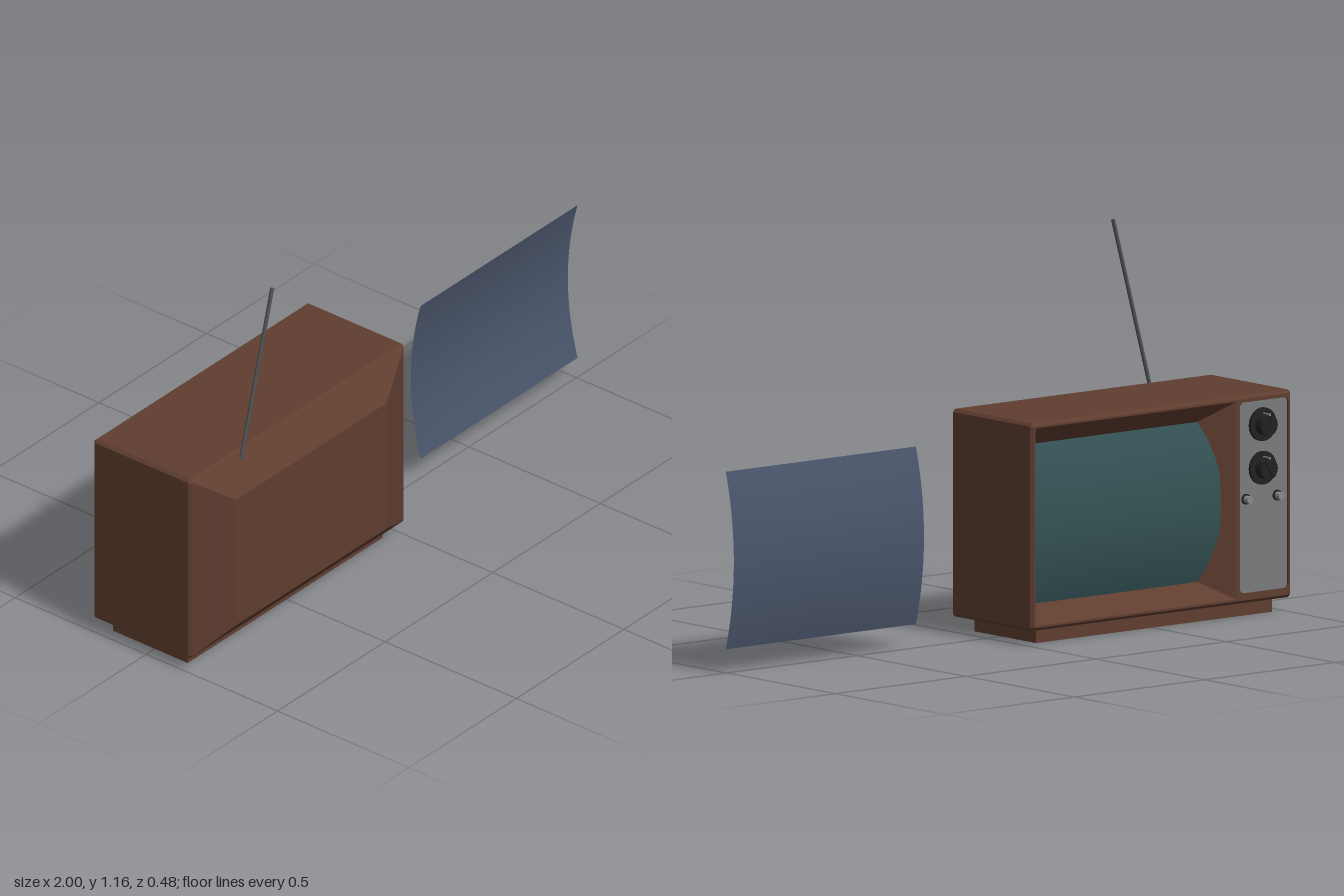
import * as THREE from 'three';

const mat = (name, color, side = THREE.FrontSide) => {
  const m = new THREE.MeshStandardMaterial({ color, side });
  m.name = name;
  return m;
};

// Rectangle outline with small chamfered corners, counter-clockwise
function outline(x0, x1, y0, y1, c = 0) {
  return [
    [x1, y0 + c], [x1, y1 - c], [x1 - c, y1], [x0 + c, y1],
    [x0, y1 - c], [x0, y0 + c], [x0 + c, y0], [x1 - c, y0],
  ];
}

// Flat-faced skin through rectangular rings [x0, x1, y0, y1, z, chamfer].
// Rings running towards -z face outwards, rings running towards +z face inwards.
function loft(rings) {
  const pts = rings.map(([x0, x1, y0, y1, z, c]) => outline(x0, x1, y0, y1, c).map(p => [...p, z]));
  const out = [];
  for (let i = 0; i < pts.length - 1; i++) {
    for (let j = 0; j < 8; j++) {
      const k = (j + 1) % 8;
      const [a, b, c, d] = [pts[i][j], pts[i][k], pts[i + 1][k], pts[i + 1][j]];
      out.push(...a, ...d, ...c, ...a, ...c, ...b);
    }
  }
  const g = new THREE.BufferGeometry();
  g.setAttribute('position', new THREE.Float32BufferAttribute(out, 3));
  g.computeVertexNormals();
  return g;
}

// Bulging sheet: deep curve over the height, slight curve over the width
function curvedSheet(w, h, bulge, sideBulge) {
  const g = new THREE.PlaneGeometry(w, h, 16, 24);
  const p = g.attributes.position;
  for (let i = 0; i < p.count; i++) {
    const u = p.getX(i) / (w / 2), v = p.getY(i) / (h / 2);
    p.setZ(i, -(1 - v * v) * (bulge + sideBulge * (1 - u * u)));
  }
  g.computeVertexNormals();
  return g;
}

export function createModel() {
  const group = new THREE.Group();
  const wood = mat('brown cabinet', 0x5f3d2f);
  const tube = mat('teal screen', 0x345254, THREE.DoubleSide);
  const glassMat = mat('blue grey glass', 0x4a556b, THREE.DoubleSide);
  const grey = mat('grey panel', 0x7a7b7c);
  const black = mat('black knob', 0x1f2123);
  const metal = mat('dark metal', 0x505254);
  const steel = mat('light metal', 0x8a8a8a);

  const add = (name, geo, material, x = 0, y = 0, z = 0, parent = group) => {
    const m = new THREE.Mesh(geo, material);
    m.name = name;
    m.position.set(x, y, z);
    parent.add(m);
    return m;
  };

  // Cabinet shell with the tapered back
  const e = 0.009;
  add('cabinetShell', loft([
    [-0.525, -0.525, 0.35, 0.35, 0.24, 0],
    [-0.875, -0.175, 0.135, 0.57, 0.24, 0],
    [-1 + e, -e, 0.045 + e, 0.665 - e, 0.168, 0.003],
    [-1, 0, 0.045, 0.665, 0.158, e],
    [-1, 0, 0.045, 0.665, -0.196, e],
    [-1 + e, -e, 0.045 + e, 0.665 - e, -0.205, 0.004],
  ]), wood);

  // Face frame with openings for the screen and the controls
  const screenHole = [-0.785, -0.015, 0.06, 0.65];
  const panelHole = [-0.985, -0.8, 0.075, 0.645];
  const flipped = (r, c) => outline(r[0], r[1], r[2], r[3], c).map(([x, y]) => new THREE.Vector2(-x, y));
  const face = new THREE.Shape(flipped([-1 + e, -e, 0.045 + e, 0.665 - e], 0.004));
  face.holes.push(new THREE.Path(flipped(screenHole, 0.001)), new THREE.Path(flipped(panelHole, 0.01)));
  add('faceFrame', new THREE.ShapeGeometry(face).rotateY(Math.PI), wood, 0, 0, -0.205);
  add('screenSurround', loft([
    [...screenHole, -0.205, 0.001],
    [-0.69, -0.07, 0.115, 0.59, -0.135, 0.001],
    [-0.665, -0.09, 0.14, 0.57, -0.105, 0.001],
  ]), wood);
  add('panelRecess', loft([[...panelHole, -0.205, 0.01], [...panelHole, -0.19, 0.01]]), wood);

  // Picture tube, trimmed by the sloping surround
  add('screen', curvedSheet(0.72, 0.51, 0.052, 0.006), tube, -0.385, 0.3525, -0.13);

  // Control panel
  const panel = new THREE.Shape(flipped(panelHole, 0.01));
  add('controlPanel', new THREE.ShapeGeometry(panel).rotateY(Math.PI), grey, 0, 0, -0.2);

  // Round part pointing towards -z
  const disc = (name, r, z0, z1, material, x, y) => add(name,
    new THREE.CylinderGeometry(r, r, z0 - z1, 28).rotateX(Math.PI / 2), material, x, y, (z0 + z1) / 2);

  // Large dials
  for (const [y, turn] of [[0.573, 0.5], [0.443, -0.6]]) {
    disc('dialPlate', 0.05, -0.198, -0.209, black, -0.887, y);
    disc('dialKnob', 0.032, -0.205, -0.236, black, -0.887, y);
    const grip = add('dialGrip', new THREE.BoxGeometry(0.012, 0.06, 0.008), black, -0.887, y, -0.237);
    grip.rotation.z = turn;
    add('dialMark', new THREE.BoxGeometry(0.006, 0.006, 0.034), steel, -0.887, y + 0.032, -0.222);
  }

  // Small buttons
  for (const x of [-0.945, -0.825]) {
    disc('buttonCollar', 0.016, -0.198, -0.204, black, x, 0.355);
    disc('button', 0.011, -0.2, -0.223, steel, x, 0.355);
  }

  // Plinth
  add('plinth', new THREE.BoxGeometry(0.905, 0.05, 0.285), wood, -0.5075, 0.025, -0.0175);

  // Antenna rod
  const foot = new THREE.Vector3(-0.777, 0.64, 0.178);
  const tip = new THREE.Vector3(-0.632, 1.163, 0.178);
  const dir = tip.clone().sub(foot);
  const rod = add('antenna', new THREE.CylinderGeometry(0.006, 0.006, dir.length(), 12), metal);
  rod.position.copy(foot).lerp(tip, 0.5);
  rod.quaternion.setFromUnitVectors(new THREE.Vector3(0, 1, 0), dir.normalize());

  // Separate curved glass sheet beside the set
  add('looseGlass', curvedSheet(0.73, 0.53, 0.037, 0.005), glassMat, 0.635, 0.335, 0.004);

  return group;
}
